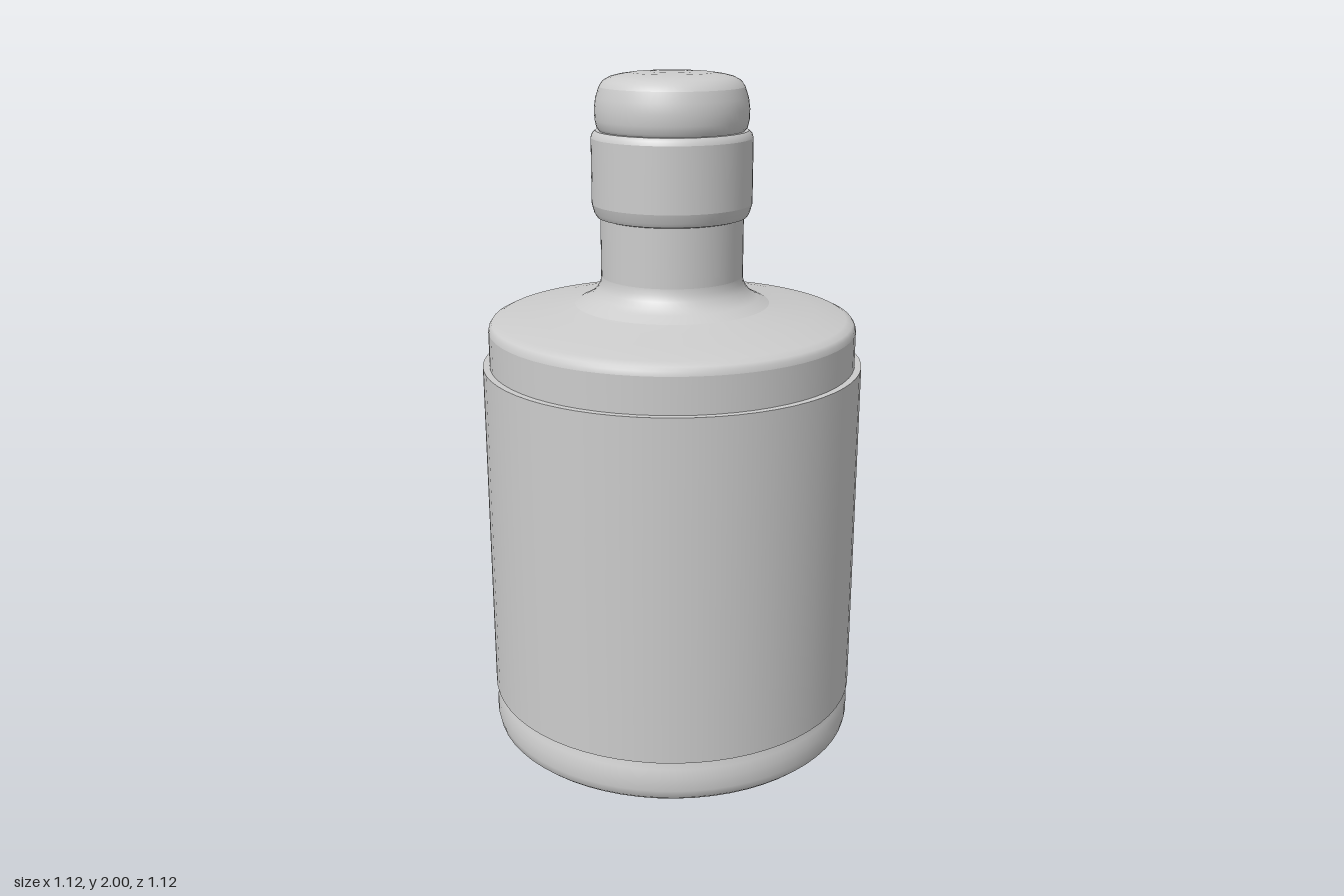
import * as THREE from 'three';

const SEGMENTS = 64;
const material = new THREE.MeshStandardMaterial({ color: 0xcccccc, side: THREE.DoubleSide });

// Each strip is a smooth run of [radius, height]; separate strips meet at a sharp edge.
function turned(name, ...strips) {
  const part = new THREE.Group();
  part.name = name;
  strips.forEach((strip, i) => {
    const points = strip.map(([r, y]) => new THREE.Vector2(r, y));
    const mesh = new THREE.Mesh(new THREE.LatheGeometry(points, SEGMENTS), material);
    mesh.name = `${name}Surface${i + 1}`;
    part.add(mesh);
  });
  return part;
}

export function createModel() {
  const model = new THREE.Group();
  model.name = 'bottle';

  // Glass: flat underside, bulging foot, straight wall, shoulder and neck
  model.add(turned('bottleBody',
    [[0, 0.006], [0.4, 0], [0.515, 0.005]],
    [[0.515, 0.005], [0.54, 0.01], [0.553, 0.022], [0.558, 0.045], [0.557, 0.08], [0.55, 0.11], [0.542, 0.13], [0.54, 0.15]],
    [[0.54, 0.15], [0.54, 1.27]],
    [[0.54, 1.27], [0.537, 1.283], [0.53, 1.293], [0.51, 1.303], [0.42, 1.32], [0.34, 1.332], [0.285, 1.343]],
    [[0.285, 1.343], [0.25, 1.36], [0.232, 1.372], [0.217, 1.39], [0.209, 1.408], [0.207, 1.425]],
    [[0.207, 1.425], [0.207, 1.6]],
  ));

  // Label sleeve wrapped around the wall
  model.add(turned('label',
    [[0.54, 0.138], [0.56, 0.138]],
    [[0.56, 0.138], [0.56, 1.165]],
    [[0.56, 1.165], [0.54, 1.165]],
  ));

  // Thick collar at the mouth
  model.add(turned('collar',
    [[0.207, 1.595], [0.217, 1.598]],
    [[0.217, 1.598], [0.224, 1.61], [0.231, 1.635]],
    [[0.231, 1.635], [0.231, 1.82]],
    [[0.231, 1.82], [0.227, 1.832], [0.218, 1.84]],
    [[0.218, 1.84], [0, 1.84]],
  ));

  // Rounded stopper
  model.add(turned('stopper',
    [[0.206, 1.838], [0.214, 1.848], [0.219, 1.87], [0.22, 1.9], [0.216, 1.93], [0.206, 1.96]],
    [[0.206, 1.96], [0.195, 1.976], [0.175, 1.987], [0.15, 1.993], [0.115, 1.998], [0.06, 2], [0, 2]],
  ));

  return model;
}
